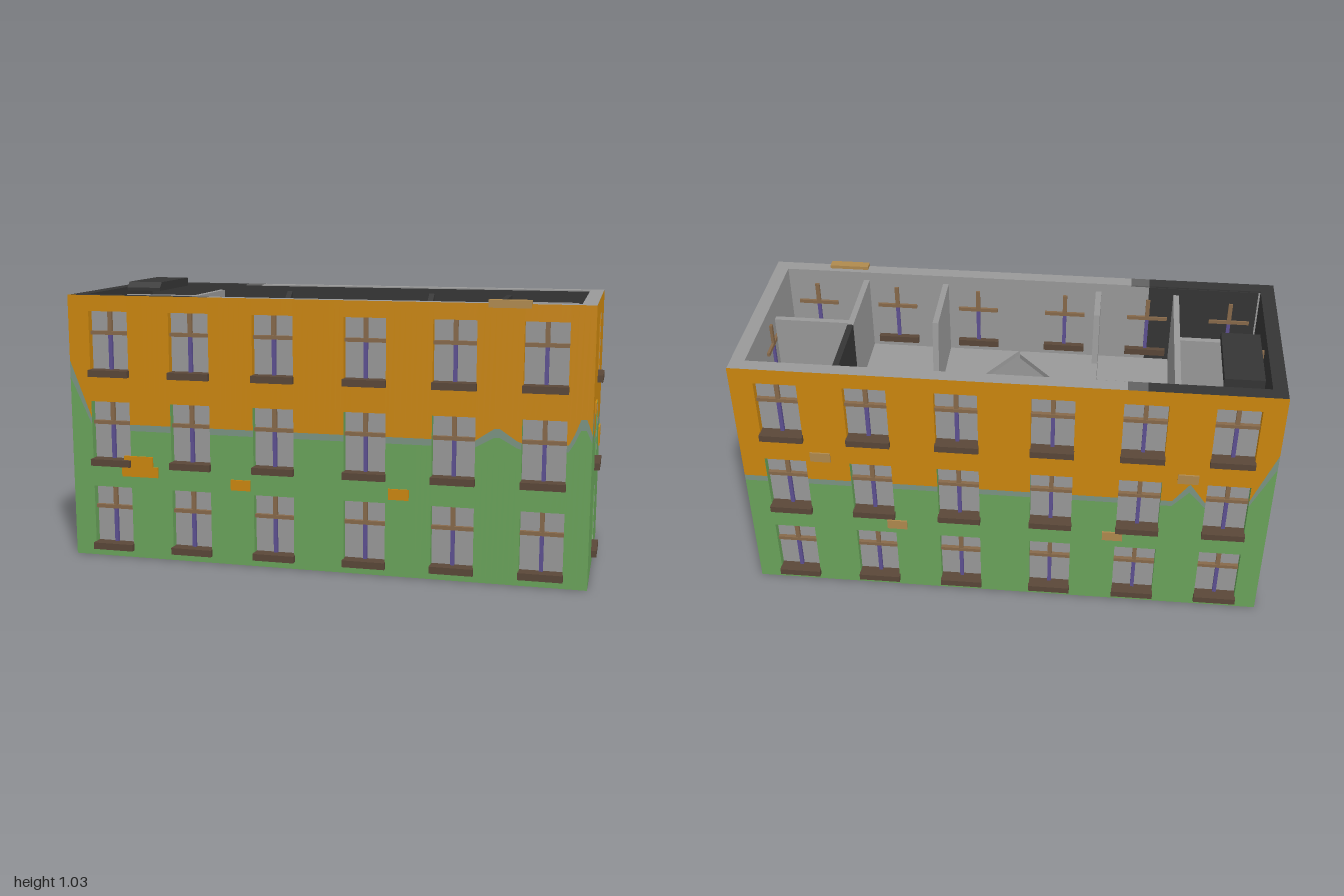
import * as THREE from 'three';

const mat = (name, color) => {
  const m = new THREE.MeshStandardMaterial({ color });
  m.name = name;
  return m;
};
const orange = mat('orange plaster', 0xcc870e);
const green = mat('green plaster', 0x6aa45b);
const bare = mat('bare plaster band', 0x7b9483);
const concrete = mat('concrete', 0x999999);
const mid = mat('dusty concrete', 0x626262);
const soot = mat('sooty concrete', 0x353535);
const sillBrown = mat('sill brown', 0x5a4738);
const wood = mat('frame wood', 0x87694a);
const purple = mat('purple mullion', 0x5d5092);
const tan = mat('tan brick', 0xb08a4e);

const H = 1.01, W = 0.98, D = 0.375;      // height, half width, half depth
const REVEAL = 0.03, THICK = 0.053;       // window recess, wall thickness
const WIN_W = 0.156, WIN_H = 0.248;

// box given by its extents along x, y and z
function block(parent, name, m, x0, x1, y0, y1, z0, z1) {
  const mesh = new THREE.Mesh(new THREE.BoxGeometry(x1 - x0, y1 - y0, z1 - z0), m);
  mesh.position.set((x0 + x1) / 2, (y0 + y1) / 2, (z0 + z1) / 2);
  mesh.name = name;
  parent.add(mesh);
}

// painted skin between two height functions, leaving the windows open
function skin(f, low, high) {
  const cuts = f.cols.flatMap((c) => [c - WIN_W / 2, c + WIN_W / 2]);
  const steps = Math.round(f.half * 100);
  for (let i = 0; i <= steps; i++) cuts.push(f.half * (2 * i / steps - 1));
  cuts.sort((a, b) => a - b);
  const pos = [];
  for (let i = 0; i + 1 < cuts.length; i++) {
    const u0 = cuts[i], u1 = cuts[i + 1];
    const open = f.cols.some((c) => Math.abs((u0 + u1) / 2 - c) < WIN_W / 2);
    const edges = open ? [0, ...f.rows.flatMap((y) => [y, y + WIN_H]), H] : [0, H];
    for (let e = 0; e < edges.length; e += 2) {
      const fit = (y) => THREE.MathUtils.clamp(y, edges[e], edges[e + 1]);
      const l0 = fit(low(u0)), l1 = fit(low(u1)), h0 = fit(high(u0)), h1 = fit(high(u1));
      if (u1 - u0 < 1e-6 || h0 - l0 + h1 - l1 < 1e-6) continue;
      pos.push(u0, l0, f.out, u1, l1, f.out, u1, h1, f.out);
      pos.push(u0, l0, f.out, u1, h1, f.out, u0, h0, f.out);
    }
  }
  const g = new THREE.BufferGeometry();
  g.setAttribute('position', new THREE.Float32BufferAttribute(pos, 3));
  g.computeVertexNormals();
  return g;
}

function addWindow(parent, c, y0, out, revealMat) {
  const g = new THREE.Group();
  g.name = 'window';
  const a = c - WIN_W / 2, b = c + WIN_W / 2, y1 = y0 + WIN_H, yt = y0 + 0.158, t = 0.003;
  const back = out - REVEAL, front = out - 0.001;
  const frameIn = out - THICK - 0.01, frameOut = out - 0.015;
  block(g, 'jamb', revealMat, a - t, a, y0, y1, back, front);
  block(g, 'jamb', revealMat, b, b + t, y0, y1, back, front);
  block(g, 'lintel', revealMat, a, b, y1, y1 + t, back, front);
  block(g, 'transom', wood, a, b, yt, yt + 0.014, frameIn, frameOut);
  block(g, 'upperMullion', wood, c - 0.008, c + 0.008, yt + 0.014, y1, frameIn, frameOut - 0.002);
  block(g, 'lowerMullion', purple, c - 0.007, c + 0.007, y0 + 0.026, yt, frameIn, frameOut - 0.002);
  block(g, 'windowSill', sillBrown, c - 0.08, c + 0.08, y0, y0 + 0.026, out - 0.075, out + 0.02);
  parent.add(g);
}

// one outer wall: bumps [u, height, reach] raise the worn paint line, bricks are [u, y] centres
function addFacade(root, name, turn, f, lining, brickMat, bumps, bricks) {
  const g = new THREE.Group();
  g.name = name;
  g.rotation.y = turn;
  const rise = (u) => bumps.reduce((s, [c, h, r]) => s + h * Math.max(0, 1 - Math.abs(u - c) / r), 0);
  const low = (u) => 0.497 + rise(u), high = (u) => 0.521 + rise(u) * 1.2;
  const addSkin = (part, m, a, b) => {
    const mesh = new THREE.Mesh(skin(f, a, b), m);
    mesh.name = part;
    g.add(mesh);
  };
  addSkin('lowerPaint', green, () => 0, low);
  addSkin('wornBand', bare, low, high);
  addSkin('upperPaint', orange, high, () => H);
  // blank panes behind the openings and the inner lining
  const half = f.half - 0.031;
  block(g, 'panes', concrete, -half, half, 0.002, 1.004, f.out - 0.04, f.out - REVEAL);
  block(g, 'innerLining', lining, -half, half, 0.002, 1.004, f.out - THICK, f.out - 0.04);
  f.rows.forEach((y, i) => f.cols.forEach((c) => addWindow(g, c, y, f.out, i === 2 ? orange : green)));
  for (const [u, y] of bricks) {
    block(g, 'exposedBrick', brickMat, u - 0.038, u + 0.038, y - 0.02, y + 0.02, f.out - 0.002, f.out + 0.006);
  }
  root.add(g);
}

// keep the part of an [x, z] outline on one side of a line of constant z
function clipZ(poly, z, sign) {
  return poly.flatMap((p, i) => {
    const q = poly[(i + 1) % poly.length];
    const a = (p[1] - z) * sign, b = (q[1] - z) * sign;
    const kept = a >= 0 ? [p] : [];
    if (a * b < 0) kept.push([p[0] + (q[0] - p[0]) * a / (a - b), z]);
    return kept;
  });
}

// broken floor slab, sooty towards the back
function addSlab(root, y, outline) {
  for (const [z0, z1, m] of [[-1, -0.08, soot], [-0.08, -0.02, mid], [-0.02, 1, concrete]]) {
    const poly = clipZ(clipZ(outline, z0, 1), z1, -1);
    const shape = new THREE.Shape(poly.map(([x, z]) => new THREE.Vector2(x, -z)));
    const geo = new THREE.ExtrudeGeometry(shape, { depth: 0.02, bevelEnabled: false });
    const mesh = new THREE.Mesh(geo.rotateX(-Math.PI / 2), m);
    mesh.name = 'floorSlab';
    mesh.position.y = y;
    root.add(mesh);
  }
}

// upright piece with a [z, y] outline, extruded along x
function addUpright(root, name, m, x, width, outline) {
  const shape = new THREE.Shape(outline.map(([z, y]) => new THREE.Vector2(-z, y)));
  const geo = new THREE.ExtrudeGeometry(shape, { depth: width, bevelEnabled: false });
  const mesh = new THREE.Mesh(geo.rotateY(Math.PI / 2), m);
  mesh.position.x = x - width / 2;
  mesh.name = name;
  root.add(mesh);
}

// cross and spine walls of one storey between heights a and b
function addRooms(root, a, b, ruined) {
  for (const [x, rear] of [[-0.605, concrete], [0.61, soot]]) {
    block(root, 'crossWall', rear, x - 0.011, x + 0.011, a, b, -0.31, -0.02);
    block(root, 'crossWall', concrete, x - 0.011, x + 0.011, a, b, -0.02, 0.305);
  }
  block(root, 'spineWall', concrete, -0.9, -0.616, a, b, -0.011, 0.011);
  block(root, 'spineWall', concrete, 0.621, 0.9, a, b, -0.011, 0.011);
  const top = ruined ? a + 0.1 : b;
  for (const [x, edge] of [[-0.305, 0.13], [0.295, 0.02]]) {
    addUpright(root, 'brokenCrossWall', concrete, x, 0.022,
      [[0.305, a], [0.305, b], [edge, b], [edge - 0.03, top], [-0.02, top], [-0.02, a]]);
    addUpright(root, 'brokenCrossWall', soot, x, 0.022, [[-0.02, a], [-0.02, top], [-0.31, b], [-0.31, a]]);
  }
  const low = ruined ? a + 0.06 : b;
  block(root, 'brokenSpineWall', concrete, -0.294, 0.1, a, low, -0.008, 0.008);
  block(root, 'brokenSpineWall', concrete, 0.13, 0.284, a, low, -0.008, 0.008);
}

export function createModel() {
  const root = new THREE.Group();
  root.name = 'apartmentBlock';

  // outer walls
  const cols = [-0.82, -0.5, -0.175, 0.17, 0.495, 0.815], rows = [0.027, 0.358, 0.702];
  const front = { half: W, out: D, cols, rows };
  const back = { half: W, out: D, cols: cols.map((c) => -c), rows };
  const side = { half: D, out: W, cols: [0], rows: [0.036, 0.372, 0.702] };
  addFacade(root, 'frontWall', 0, front, concrete, orange,
    [[-0.98, 0.2, 0.09], [0.65, 0.045, 0.08], [0.95, 0.1, 0.045]],
    [[-0.73, 0.38], [-0.69, 0.38], [-0.74, 0.34], [-0.67, 0.34], [-0.303, 0.31], [0.298, 0.31]]);
  addFacade(root, 'backWall', Math.PI, back, soot, tan,
    [[0.98, 0.2, 0.09], [0.68, 0.07, 0.06]],
    [[-0.68, 0.63], [-0.41, 0.32], [0.67, 0.63], [0.41, 0.33]]);
  addFacade(root, 'leftWall', Math.PI / 2, side, concrete, orange,
    [[-0.34, 0.08, 0.075], [-0.28, 0.08, 0.06]],
    [[-0.208, 0.633], [0.275, 0.458], [0.292, 0.419]]);
  addFacade(root, 'rightWall', -Math.PI / 2, side, soot, orange,
    [[-0.375, 0.2, 0.2], [0.375, 0.2, 0.13]],
    [[0.22, 0.63], [-0.286, 0.43], [-0.25, 0.47]]);
  block(root, 'sootyLining', soot, -0.92, -0.5, 0.002, 1.004, D - THICK - 0.003, D - THICK);

  // wall crown and foot, sooty at one end
  const in0 = D - THICK, out0 = D - 0.001, inX = W - THICK, outX = W - 0.001;
  for (const y of [0.001, H - 0.006]) {
    const rim = (m, ...ends) => block(root, 'wallRim', m, ends[0], ends[1], y, y + 0.005, ends[2], ends[3]);
    for (const [z0, z1] of [[-out0, -in0], [in0, out0]]) {
      rim(soot, -outX, -0.5, z0, z1);
      rim(mid, -0.5, -0.43, z0, z1);
      rim(concrete, -0.43, outX, z0, z1);
    }
    rim(soot, -outX, -inX, -in0, in0);
    rim(concrete, inX, outX, -in0, in0);
  }

  // broken floors
  for (const y of [0.325, 0.665]) {
    addSlab(root, y, [[-0.905, -0.31], [-0.08, -0.31], [-0.08, -0.2], [-0.13, -0.11], [-0.3, -0.03],
      [-0.515, -0.17], [-0.595, -0.17], [-0.595, -0.01], [-0.44, 0.135], [-0.3, 0.135], [-0.3, 0.11],
      [-0.155, 0.11], [0, 0.285], [0, 0.305], [-0.905, 0.305]]);
    addSlab(root, y, [[0.12, -0.31], [0.9, -0.31], [0.9, 0.305], [0.005, 0.305], [0.02, 0.285],
      [0.18, 0.05], [0.285, 0.02], [0.285, -0.08]]);
  }

  // rooms of each storey
  addRooms(root, 0.01, 0.325, false);
  addRooms(root, 0.345, 0.665, false);
  addRooms(root, 0.685, 0.985, true);

  // roof remnant over the stairwell and a loose brick on the crown
  addUpright(root, 'roofRemnant', soot, -0.83, 0.14, [[0, 1], [0, 1.012], [-0.02, 1.034], [-0.31, 1.034], [-0.31, 1]]);
  block(root, 'looseBrick', tan, 0.61, 0.76, 0.995, 1.022, 0.342, 0.378);
  return root;
}
